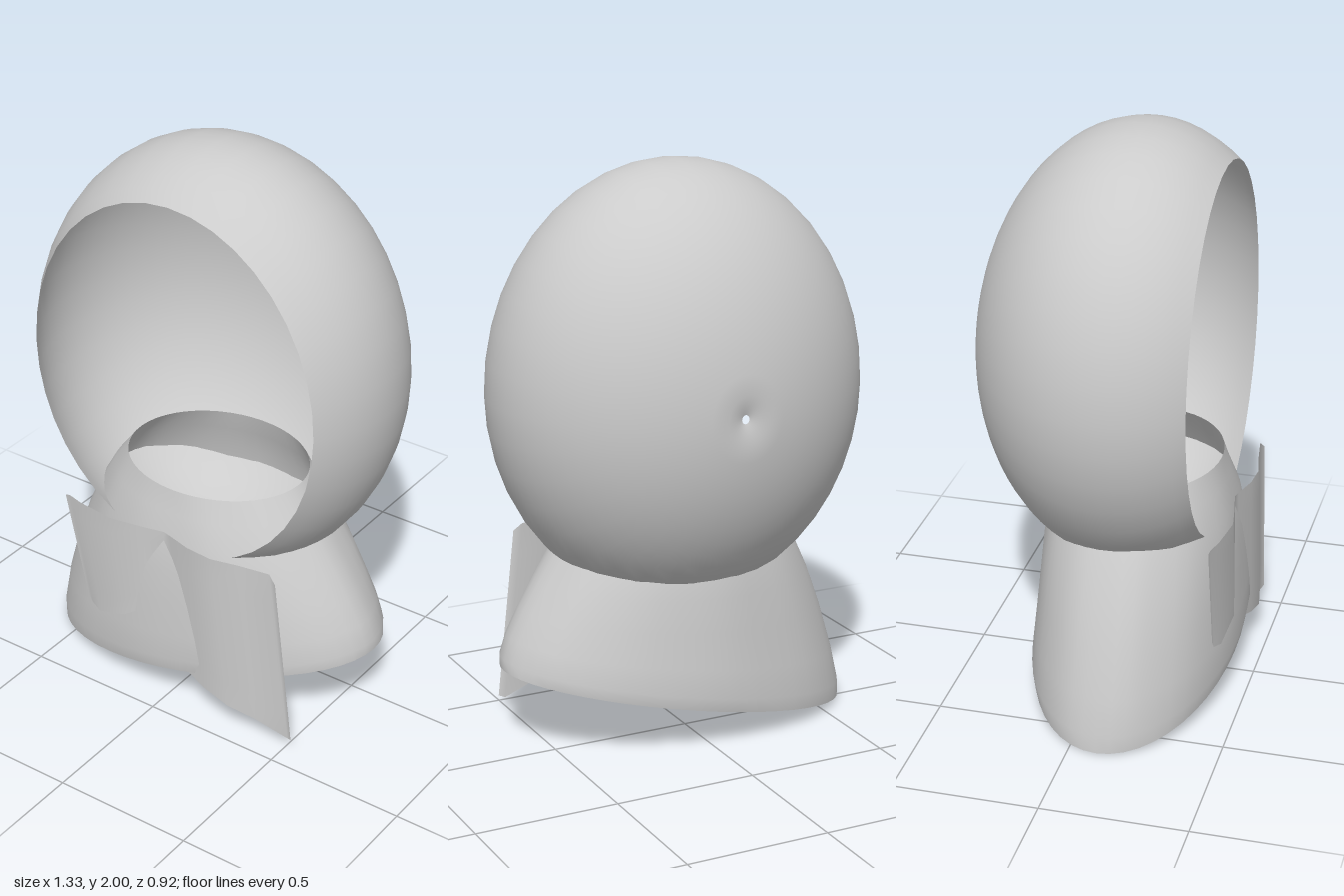
import * as THREE from 'three';

const cloth = new THREE.MeshStandardMaterial({ color: 0xcccccc, side: THREE.DoubleSide });

// Skin a surface over rows of points; closed rows wrap around.
function loft(name, rows, closed) {
  const n = rows[0].length, index = [];
  for (let r = 0; r < rows.length - 1; r++) {
    for (let i = 0; i < (closed ? n : n - 1); i++) {
      const j = (i + 1) % n;
      const a = r * n + i, b = r * n + j, c = a + n, d = b + n;
      index.push(a, c, b, b, c, d);
    }
  }
  const geometry = new THREE.BufferGeometry();
  geometry.setAttribute('position', new THREE.Float32BufferAttribute(rows.flat(2), 3));
  geometry.setIndex(index);
  geometry.computeVertexNormals();
  const mesh = new THREE.Mesh(geometry, cloth);
  mesh.name = name;
  return mesh;
}

function ring(count, point) {
  return Array.from({ length: count }, (_, i) => point((i / count) * Math.PI * 2));
}

// Egg-shaped shell, sliced open at the front, with a small pucker at the back.
function createHood() {
  const rows = [], steps = 24;
  const frontAngle = Math.PI - Math.acos(0.29 / 0.54);
  for (let k = 0; k <= steps; k++) {
    const t = 0.02 + (frontAngle - 0.02) * (k / steps);
    const z = k === 0 ? -0.435 : 0.08 - 0.54 * Math.cos(t);
    const s = Math.sin(t);
    rows.push(ring(40, a => {
      const height = Math.sin(a) > 0 ? 0.78 : 0.75;
      return [0.665 * s * Math.cos(a), 1.22 + height * s * Math.sin(a), z];
    }));
  }
  return loft('hood', rows, true);
}

// Flared collar from the level neck ring down to a slanted hem.
function createCollar() {
  // height, half width, half depth, centre z, slant, wrinkle
  const sections = [
    [0.83, 0.33, 0.27, 0.10, 0, 0],
    [0.75, 0.39, 0.29, 0.10, 0, 0.004],
    [0.66, 0.445, 0.32, 0.10, 0.02, 0.006],
    [0.54, 0.51, 0.338, 0.10, 0.06, 0.006],
    [0.42, 0.565, 0.348, 0.10, 0.11, 0.005],
    [0.29, 0.615, 0.358, 0.098, 0.165, 0.004],
    [0.19, 0.642, 0.365, 0.095, 0.2, 0.003],
    [0.14, 0.645, 0.355, 0.095, 0.218, 0],
  ];
  const rows = sections.map(([y, rx, rz, cz, slant, wrinkle]) => ring(48, a => {
    const w = 1 + wrinkle * (Math.sin(7 * a) + Math.sin(11 * a + 1));
    const x = rx * w * Math.cos(a);
    return [x, y + slant * x, cz + rz * w * Math.sin(a)];
  }));
  return loft('collar', rows, true);
}

// Thin wavy flap across the chest, short on one side and long on the other.
function createFrontFlap() {
  // top x, top y, bottom x, bottom y, z
  const columns = [
    [-0.42, 0.68, -0.335, 0.3, 0.42],
    [-0.40, 0.686, -0.315, 0.27, 0.422],
    [-0.34, 0.686, -0.27, 0.26, 0.438],
    [-0.20, 0.686, -0.15, 0.305, 0.455],
    [-0.08, 0.686, -0.05, 0.37, 0.435],
    [0, 0.686, 0, 0.41, 0.418],
    [0.03, 0.686, 0.08, 0.162, 0.425],
    [0.12, 0.686, 0.18, 0.135, 0.45],
    [0.22, 0.686, 0.29, 0.107, 0.458],
    [0.32, 0.686, 0.39, 0.08, 0.435],
    [0.43, 0.686, 0.51, 0.042, 0.418],
    [0.46, 0.66, 0.53, 0.05, 0.428],
  ];
  const rows = [];
  for (let k = 0; k <= 6; k++) {
    const t = k / 6;
    rows.push(columns.map(([x0, y0, x1, y1, z]) => [
      x0 + (x1 - x0) * t,
      y0 + (y1 - y0) * t,
      z,
    ]));
  }
  return loft('frontFlap', rows, false);
}

export function createModel() {
  const model = new THREE.Group();
  model.name = 'hoodWithCollar';
  model.add(createHood(), createCollar(), createFrontFlap());
  return model;
}
